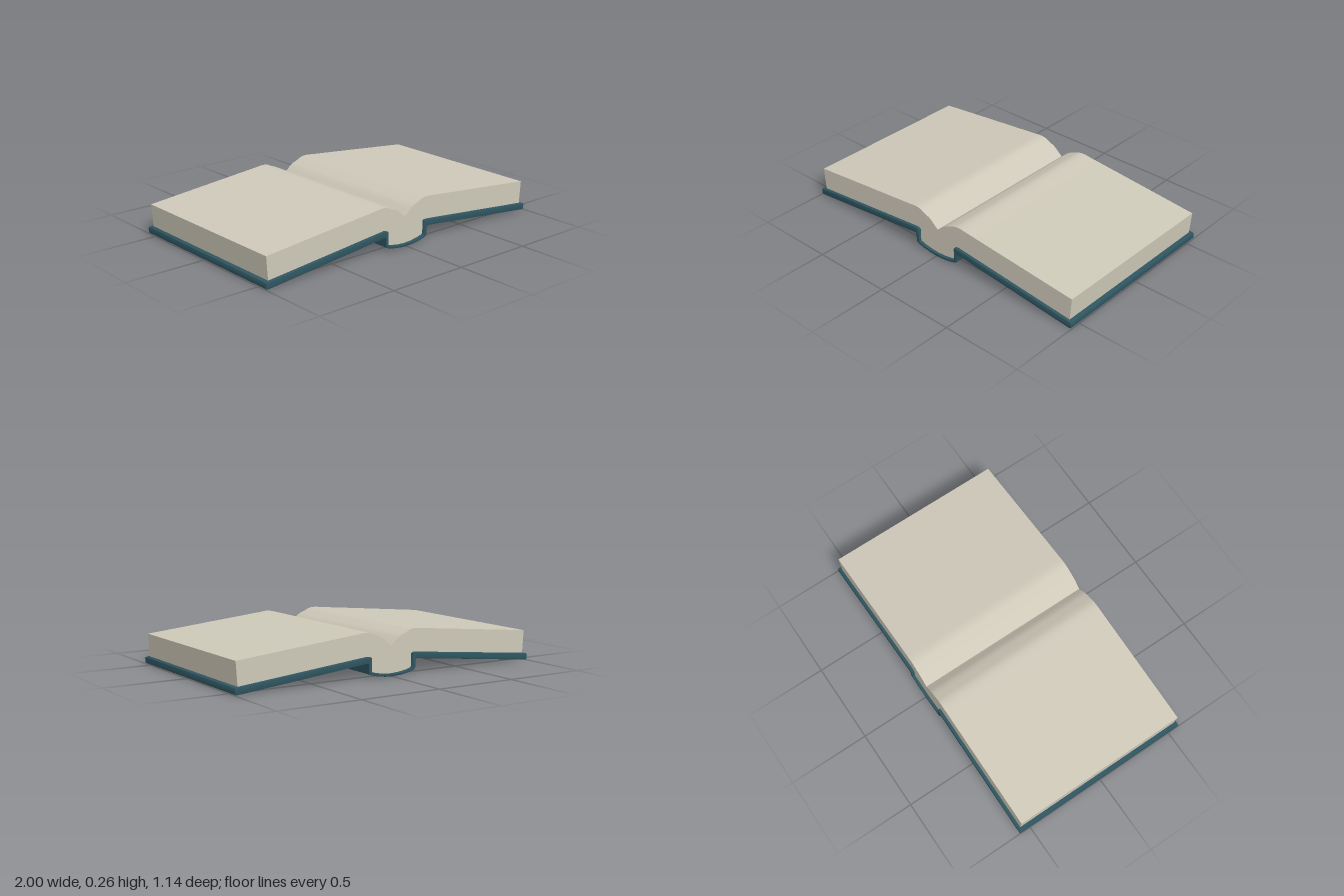
import * as THREE from 'three';
import { toCreasedNormals } from 'three/addons/utils/BufferGeometryUtils.js';

const coverMaterial = new THREE.MeshStandardMaterial({ name: 'teal cover', color: 0x2f5560 });
const pageMaterial = new THREE.MeshStandardMaterial({ name: 'cream paper', color: 0xcdc8b8 });

// Mirror the +x half of an outline, listed from bottom centre round to top centre.
function mirroredShape(half) {
  const left = half.slice(1, -1).reverse().map(([x, y]) => [-x, y]);
  return new THREE.Shape([...half, ...left].map(([x, y]) => new THREE.Vector2(x, y)));
}

// Extrude an outline along z, centred, with smooth curves and sharp corners.
function bookPart(name, half, depth, bevel, material) {
  const geometry = new THREE.ExtrudeGeometry(mirroredShape(half), {
    depth: depth - 2 * bevel,
    bevelEnabled: bevel > 0,
    bevelSize: bevel,
    bevelThickness: bevel,
    bevelOffset: -bevel,
    bevelSegments: 2,
  });
  geometry.translate(0, 0, bevel - depth / 2);
  const mesh = new THREE.Mesh(toCreasedNormals(geometry, 0.7), material);
  mesh.name = name;
  return mesh;
}

export function createModel() {
  const book = new THREE.Group();
  book.name = 'openBook';

  // Cover: two sloping boards joined by a sunken, gently curved spine
  const coverHalf = [
    [0, 0], [0.05, 0.003], [0.1, 0.01], [0.14, 0.021], [0.155, 0.028], [0.16, 0.04],
    [0.16, 0.079], [0.164, 0.086], [0.172, 0.088],
    [0.985, 0.002], [0.995, 0.003], [1, 0.01], [1, 0.032], [0.997, 0.039], [0.988, 0.042],
    [0.165, 0.125], [0.15, 0.124], [0.142, 0.12], [0.14, 0.112],
    [0.14, 0.046], [0.136, 0.037], [0.1, 0.027], [0.05, 0.019], [0, 0.016],
  ];
  book.add(bookPart('cover', coverHalf, 1.14, 0.003, coverMaterial));

  // Page block: follows the cover below, swells either side of the centre fold
  const pagesHalf = [
    [0, 0.014], [0.05, 0.017], [0.1, 0.025], [0.138, 0.036], [0.142, 0.046],
    [0.142, 0.115], [0.15, 0.122], [0.165, 0.123],
    [0.975, 0.041], [0.985, 0.181],
    [0.6, 0.219], [0.3, 0.248], [0.22, 0.256], [0.185, 0.26], [0.155, 0.26], [0.13, 0.254],
    [0.1, 0.24], [0.07, 0.229], [0.045, 0.214], [0.02, 0.191], [0, 0.175],
  ];
  book.add(bookPart('pages', pagesHalf, 1.104, 0, pageMaterial));

  return book;
}
